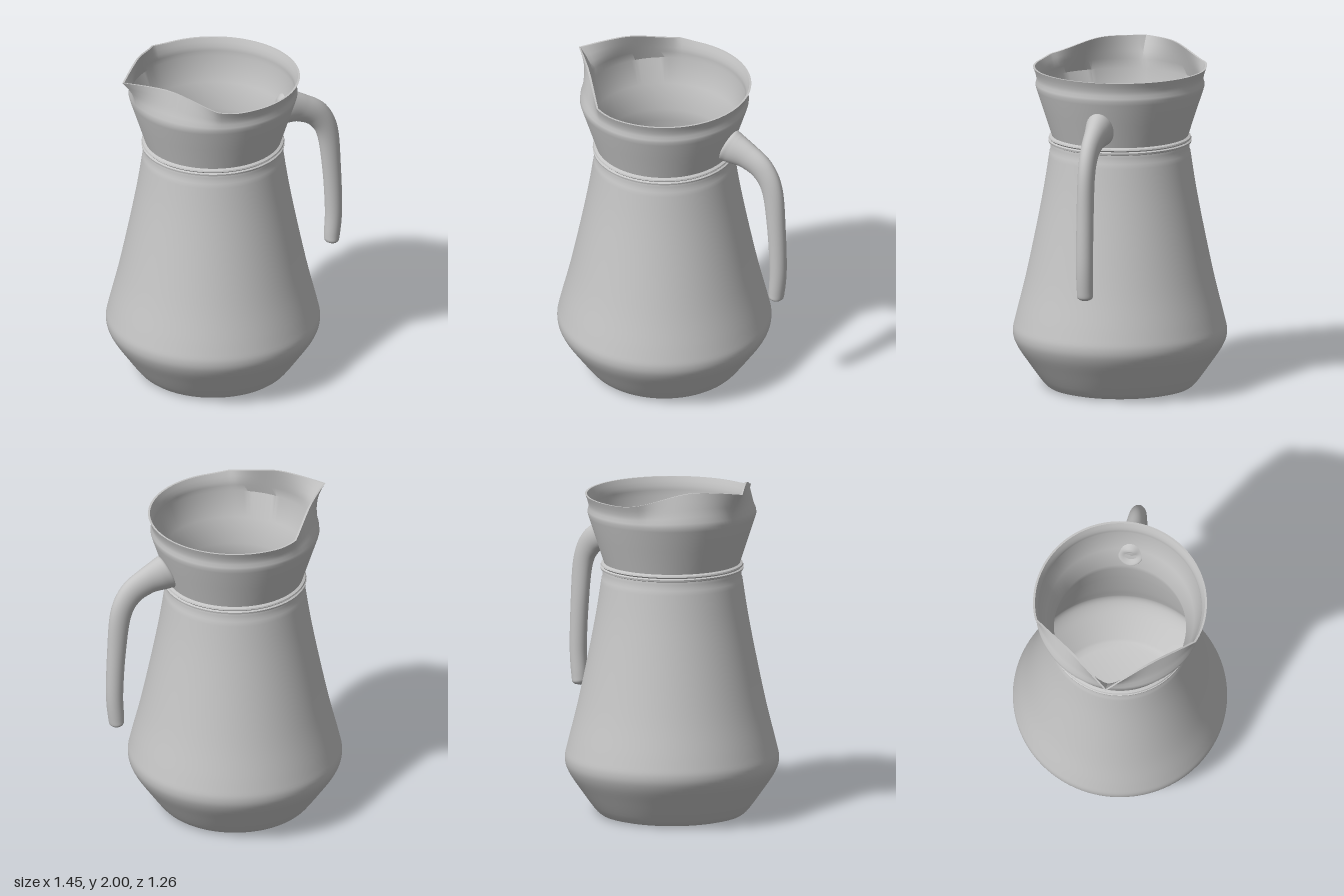
import * as THREE from 'three';
import { mergeVertices, toCreasedNormals } from 'three/addons/utils/BufferGeometryUtils.js';

const AXIS_X = -0.1; // the jug body sits off centre to make room for the handle
const SHOULDER = 1.8; // the pouring lip is shaped above this height
const RIM = 1.912;
const RIM_RADIUS = 0.51;

const spline = (pts, n) =>
  new THREE.SplineCurve(pts.map(([r, y]) => new THREE.Vector2(r, y))).getPoints(n);

// Rim height and radius by angle (degrees) away from the spout
function rimHeight(a) {
  const dip = a < 25 ? 0.015 * (1 - a / 25) ** 2 : 0;
  return RIM + 0.088 * (1 - THREE.MathUtils.smoothstep(a, 25, 85)) - dip;
}
function rimRadius(a) {
  if (a > 69) return RIM_RADIUS;
  return Math.min(RIM_RADIUS + 0.08, 0.445 / Math.cos(THREE.MathUtils.degToRad(a - 40)));
}

function bodyGeometry() {
  const belly = [[0.42, 0.008], [0.455, 0.04], [0.535, 0.15], [0.605, 0.255], [0.628, 0.33],
    [0.612, 0.42], [0.555, 0.65], [0.492, 0.95], [0.445, 1.2], [0.413, 1.41]];
  const neckRing = [[0.407, 1.425], [0.407, 1.445], [0.405, 1.46], [0.418, 1.465], [0.42, 1.476],
    [0.41, 1.482], [0.418, 1.49], [0.415, 1.498], [0.4, 1.505]];
  const collar = [[0.447, 1.65], [0.488, 1.775], [0.495, 1.8], [0.495, 1.815], [0.489, 1.835],
    [0.492, 1.86], [0.499, 1.885], [0.51, RIM]];
  const inside = [[0.498, RIM], [0.487, 1.885], [0.48, 1.86], [0.477, 1.835], [0.482, 1.8],
    [0.435, 1.65], [0.387, 1.5], [0.395, 1.42]];
  const innerBelly = belly.slice(1, 9).reverse().map(([r, y]) => [r - 0.015, y]);
  const toPoints = (list) => list.map(([r, y]) => new THREE.Vector2(r, y));
  const profile = [
    ...toPoints([[0, 0], [0.39, 0]]), ...spline(belly, 44), ...toPoints(neckRing),
    ...toPoints(collar), ...toPoints(inside), ...spline(innerBelly, 30),
    ...toPoints([[0.41, 0.025], [0, 0.025]]),
  ];

  let geo = new THREE.LatheGeometry(profile, 120);
  geo.deleteAttribute('uv');
  geo.deleteAttribute('normal');
  geo = mergeVertices(geo, 1e-5);

  // Raise the rim and pull it out to a pointed spout on the -x side
  const p = geo.attributes.position;
  for (let i = 0; i < p.count; i++) {
    const x = p.getX(i), y = p.getY(i), z = p.getZ(i);
    if (y <= SHOULDER) continue;
    const a = THREE.MathUtils.radToDeg(Math.atan2(Math.abs(z), -x));
    const t = (y - SHOULDER) / (RIM - SHOULDER);
    const r = Math.hypot(x, z);
    const k = (r + t ** 1.6 * (rimRadius(a) - RIM_RADIUS)) / r;
    p.setXYZ(i, x * k, SHOULDER + t * (rimHeight(a) - SHOULDER), z * k);
  }
  return toCreasedNormals(geo, 0.55);
}

function handleGeometry() {
  // centre x, centre y, half thickness, half width, lean of the section
  const stations = [
    [0.316, 1.62, 0, 0, 0.33], [0.325, 1.62, 0.098, 0.076, 0.33], [0.37, 1.612, 0.099, 0.077, 0.25],
    [0.46, 1.588, 0.086, 0.062, 0], [0.565, 1.525, 0.077, 0.053, 0], [0.632, 1.4, 0.066, 0.05, 0],
    [0.66, 1.15, 0.056, 0.05, 0], [0.672, 0.88, 0.051, 0.05, 0], [0.662, 0.72, 0.047, 0.048, 0],
    [0.657, 0.675, 0.038, 0.042, 0], [0.655, 0.658, 0, 0, 0],
  ];
  const curve = (f) => new THREE.CatmullRomCurve3(stations.map(f), false, 'catmullrom', 0.5);
  const path = curve((s) => new THREE.Vector3(s[0], s[1], 0));
  const size = curve((s) => new THREE.Vector3(s[2], s[3], s[4]));
  const rows = 80, sides = 28, pos = [], index = [];
  for (let i = 0; i <= rows; i++) {
    const c = path.getPoint(i / rows), t = path.getTangent(i / rows), s = size.getPoint(i / rows);
    const h = Math.max(s.x, 0.0005), w = Math.max(s.y, 0.0005);
    for (let j = 0; j < sides; j++) {
      const a = (j / sides) * Math.PI * 2;
      const u = h * Math.cos(a);
      pos.push(c.x - t.y * u + s.z * u, c.y + t.x * u, w * Math.sin(a));
      if (i < rows) {
        const p0 = i * sides + j, p1 = i * sides + ((j + 1) % sides);
        index.push(p0, p1, p0 + sides, p1, p1 + sides, p0 + sides);
      }
    }
  }
  const geo = new THREE.BufferGeometry();
  geo.setAttribute('position', new THREE.Float32BufferAttribute(pos, 3));
  geo.setIndex(index);
  geo.computeVertexNormals();
  return geo;
}

export function createModel() {
  const grey = new THREE.MeshStandardMaterial({ color: 0xc4c4c4 });
  grey.name = 'light grey';
  const jug = new THREE.Group();
  jug.name = 'jug';

  // Hollow body with neck ring, collar and spout
  const body = new THREE.Mesh(bodyGeometry(), grey);
  body.name = 'body';
  body.position.x = AXIS_X;

  // Open handle hanging from the collar
  const handle = new THREE.Mesh(handleGeometry(), grey);
  handle.name = 'handle';

  jug.add(body, handle);
  return jug;
}
